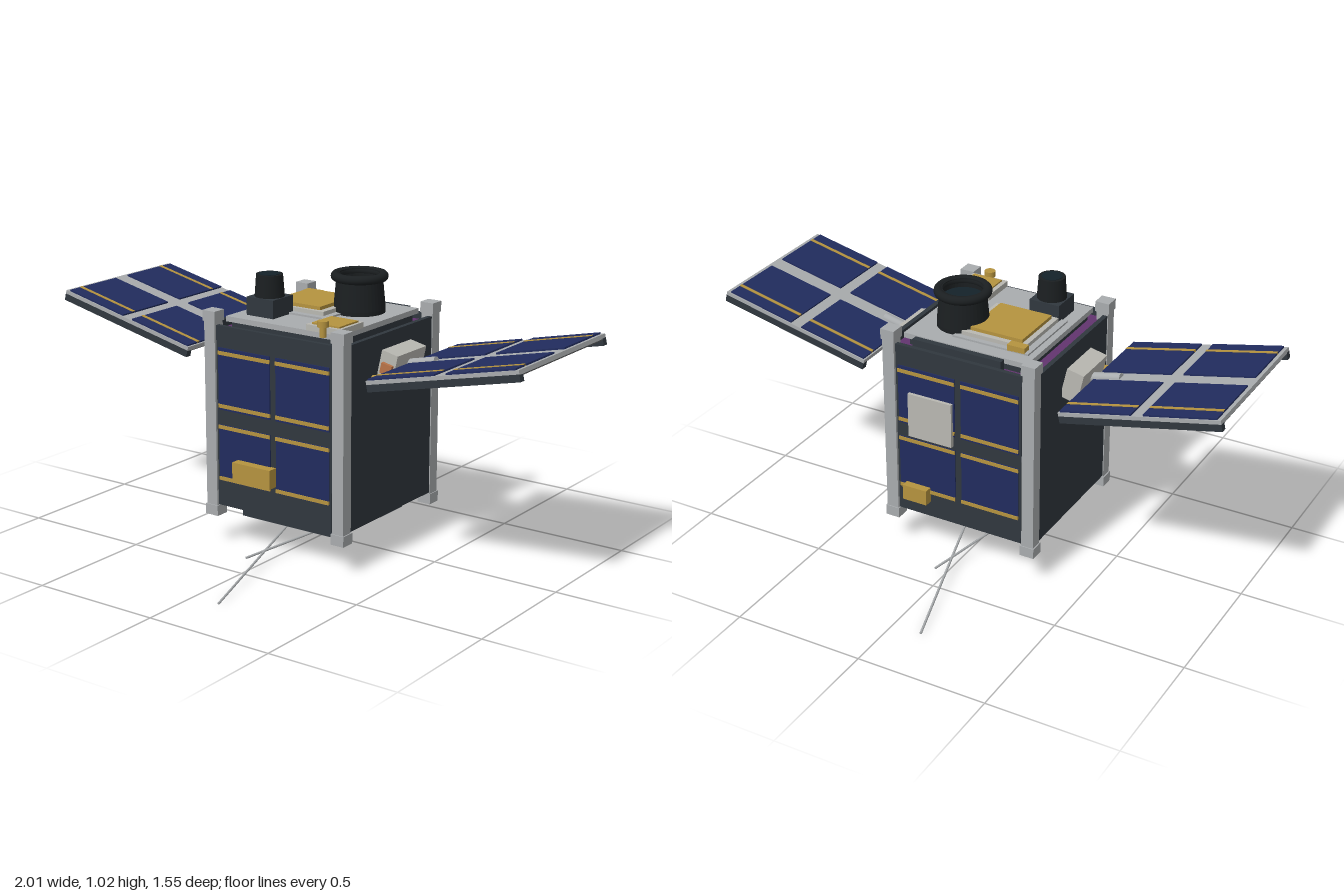
import * as THREE from 'three';

const mat = (color) => new THREE.MeshStandardMaterial({ color });
const M = {
  grey: mat(0xa9acae), pale: mat(0xb9b8b2), dark: mat(0x30373e), under: mat(0x505152),
  navy: mat(0x212c5e), gold: mat(0xb5933f), purple: mat(0x62346f), black: mat(0x1b1f21),
  teal: mat(0x152a3e), copper: mat(0xb87348), glass: mat(0x14222a),
};

const add = (parent, name, geo, m, x = 0, y = 0, z = 0) => {
  const mesh = new THREE.Mesh(geo, m);
  mesh.name = name;
  mesh.position.set(x, y, z);
  parent.add(mesh);
  return mesh;
};

// Box given by its minimum and maximum on each axis
const box = (parent, name, m, x0, x1, y0, y1, z0, z1) =>
  add(parent, name, new THREE.BoxGeometry(x1 - x0, y1 - y0, z1 - z0), m,
    (x0 + x1) / 2, (y0 + y1) / 2, (z0 + z1) / 2);

const group = (parent, name) => {
  const g = new THREE.Group();
  g.name = name;
  parent.add(g);
  return g;
};

// Thin round bar between two points
const rod = (parent, name, m, a, b, r, sides = 12) => {
  const p = new THREE.Vector3(...a), q = new THREE.Vector3(...b);
  const d = q.clone().sub(p);
  const mesh = add(parent, name, new THREE.CylinderGeometry(r, r, d.length(), sides), m);
  mesh.position.copy(p).add(q).multiplyScalar(0.5);
  mesh.quaternion.setFromUnitVectors(new THREE.Vector3(0, 1, 0), d.normalize());
  return mesh;
};

function buildBody(root) {
  const g = group(root, 'body');
  box(g, 'innerCore', M.purple, -0.28, 0.28, 0.17, 0.815, -0.288, 0.288);
  box(g, 'deckSupport', M.dark, -0.235, 0.235, 0.81, 0.846, -0.24, 0.24);
  box(g, 'topDeck', M.grey, -0.25, 0.25, 0.845, 0.865, -0.255, 0.255);
  box(g, 'rearDeckStrip', M.dark, -0.16, 0.2, 0.815, 0.862, -0.28, -0.256);
  box(g, 'bottomDeck', M.grey, -0.25, 0.25, 0.157, 0.172, -0.25, 0.25);
  for (const s of [-1, 1]) {
    box(g, 'sidePanel', M.dark, s * 0.297 - 0.009, s * 0.297 + 0.009, 0.155, 0.84, -0.26, 0.26);
    // Corner rails with end caps
    for (const t of [-1, 1]) {
      add(g, 'cornerRail', new THREE.BoxGeometry(0.048, 0.77, 0.048), M.grey, s * 0.285, 0.5, t * 0.285);
      for (const y of [0.13, 0.87])
        add(g, 'railCap', new THREE.BoxGeometry(0.056, 0.04, 0.056), M.grey, s * 0.285, y, t * 0.285);
    }
  }
  // Front and rear panels with four solar cells each
  for (const turn of [0, Math.PI]) {
    const p = group(g, turn ? 'rearPanel' : 'frontPanel');
    p.rotation.y = turn;
    box(p, 'panelPlate', M.dark, -0.257, 0.257, 0.155, 0.84, 0.288, 0.305);
    for (const x of [-0.13, 0.13]) {
      for (const [y0, y1] of [[0.253, 0.468], [0.525, 0.76]])
        box(p, 'solarCell', M.navy, x - 0.117, x + 0.117, y0, y1, 0.305, 0.309);
      for (const y of [0.262, 0.46, 0.54, 0.74])
        box(p, 'busStrip', M.gold, x - 0.117, x + 0.117, y - 0.007, y + 0.007, 0.305, 0.312);
    }
  }
  box(g, 'frontGoldUnit', M.gold, -0.16, 0.01, 0.275, 0.347, 0.305, 0.345);
  box(g, 'rearGoldUnit', M.gold, 0.12, 0.22, 0.22, 0.28, -0.34, -0.305);
  box(g, 'rearPatch', M.pale, 0.02, 0.2, 0.485, 0.66, -0.322, -0.305);
}

function buildTopEquipment(root) {
  const g = group(root, 'topEquipment');
  // Stepped patch antennas
  box(g, 'patchBase', M.grey, -0.225, 0.08, 0.865, 0.872, -0.2, 0.1);
  box(g, 'patchStep', M.pale, -0.2, 0.055, 0.872, 0.887, -0.18, 0.075);
  box(g, 'patchGold', M.gold, -0.18, 0.03, 0.887, 0.9, -0.16, 0.06);
  box(g, 'patchTab', M.gold, -0.21, -0.14, 0.865, 0.89, -0.2, -0.165);
  box(g, 'smallPatchBase', M.pale, 0.11, 0.257, 0.865, 0.887, 0.112, 0.257);
  box(g, 'smallPatchGold', M.gold, 0.127, 0.245, 0.887, 0.893, 0.127, 0.243);
  add(g, 'goldStud', new THREE.CylinderGeometry(0.021, 0.021, 0.022, 20), M.gold, 0.187, 0.9, 0.26);
  add(g, 'studStem', new THREE.CylinderGeometry(0.013, 0.013, 0.04, 16), M.gold, 0.187, 0.872, 0.26);

  // Large telescope: hollow barrel, rolled rim, recessed lens
  const tel = group(g, 'telescope');
  tel.position.set(0.1, 0.865, -0.09);
  const barrel = [[0.001, 0], [0.096, 0], [0.096, 0.015], [0.086, 0.12], [0.086, 0.145],
    [0.074, 0.145], [0.074, 0.1]].map(([r, y]) => new THREE.Vector2(r, y));
  const shell = add(tel, 'telescopeBarrel', new THREE.LatheGeometry(barrel, 40),
    new THREE.MeshStandardMaterial({ color: 0x1b1f21, side: THREE.DoubleSide }));
  shell.geometry = shell.geometry.toNonIndexed();
  shell.geometry.computeVertexNormals();
  const rim = add(tel, 'telescopeRim', new THREE.TorusGeometry(0.089, 0.017, 12, 40), M.black, 0, 0.133, 0);
  rim.rotation.x = Math.PI / 2;
  add(tel, 'telescopeLens', new THREE.CylinderGeometry(0.075, 0.075, 0.01, 40), M.glass, 0, 0.105, 0);

  // Small camera on a square base
  box(g, 'cameraBase', M.dark, -0.2, -0.08, 0.865, 0.933, 0.077, 0.197);
  add(g, 'cameraBarrel', new THREE.CylinderGeometry(0.049, 0.055, 0.082, 32), M.black, -0.14, 0.974, 0.137);
  add(g, 'cameraLens', new THREE.CylinderGeometry(0.038, 0.038, 0.004, 32), M.glass, -0.14, 1.015, 0.137);
}

// Wing extending along local +x; pinSide places the gold pin on the front
function buildWing(root, name, pinSide) {
  const side = group(root, name);
  // Hinge block, pin and arm
  const hinge = group(side, 'hinge');
  hinge.position.set(0.345, 0.725, 0);
  hinge.rotation.z = -0.22;
  box(hinge, 'hingeBlock', M.pale, -0.035, 0.033, -0.06, 0.06, -0.093, 0.093);
  box(hinge, 'hingeInsert', M.copper, -0.02, 0.025, -0.02, 0.02, pinSide * 0.099 - 0.007, pinSide * 0.099 + 0.007);
  rod(side, 'hingePin', M.gold, [0.305, 0.688, pinSide * 0.123], [0.41, 0.712, pinSide * 0.123], 0.014);

  const wing = group(side, 'solarWing');
  wing.position.set(0.395, 0.735, 0);
  wing.rotation.z = 0.221;
  const L = 0.615;
  rod(wing, 'hingeArm', M.grey, [-0.02, -0.002, 0], [0.1, -0.002, 0], 0.018, 16);
  box(wing, 'wingPlate', M.grey, 0, L, -0.016, 0, -0.3, 0.3);
  box(wing, 'wingUnderside', M.under, 0.004, L - 0.004, -0.021, -0.016, -0.28, 0.28);
  box(wing, 'undersidePanel', M.teal, 0.14, 0.47, -0.025, -0.02, -0.125, 0.125);
  for (const s of [-1, 1]) {
    box(wing, 'edgeRail', M.dark, 0, L, -0.04, -0.014, s * 0.289 - 0.012, s * 0.289 + 0.012);
    for (const [x0, x1] of [[0.006, 0.282], [0.327, 0.6]]) {
      box(wing, 'wingCell', M.navy, x0, x1, 0, 0.006, s * 0.165 - 0.13, s * 0.165 + 0.13);
      box(wing, 'wingBusStrip', M.gold, x0, x1, 0, 0.008, s * 0.235 - 0.007, s * 0.235 + 0.007);
    }
  }
  return side;
}

function buildUnderside(root) {
  const g = group(root, 'underside');
  box(g, 'antennaTray', M.dark, -0.215, 0.215, 0.093, 0.137, -0.215, 0.215);
  box(g, 'trayConnector', M.black, -0.212, -0.165, 0.135, 0.158, 0.165, 0.212);
  // Two long and two short whips, paired by a half turn
  for (const s of [-1, 1]) {
    rod(g, 'longWhip', M.grey, [-0.12 * s, 0.086, -0.07 * s], [0.115 * s, 0.005, 0.775 * s], 0.0045, 8);
    rod(g, 'shortWhip', M.grey, [0.12 * s, 0.086, -0.07 * s], [-0.022 * s, 0.038, 0.445 * s], 0.0045, 8);
    for (const t of [-1, 1])
      box(g, 'whipMount', M.black, 0.12 * t - 0.014, 0.12 * t + 0.014, 0.083, 0.095, -0.07 * s - 0.014, -0.07 * s + 0.014);
  }
}

export function createModel() {
  const root = new THREE.Group();
  root.name = 'satellite';
  buildBody(root);
  buildTopEquipment(root);
  buildWing(root, 'leftWing', 1);
  buildWing(root, 'rightWing', -1).rotation.y = Math.PI;
  buildUnderside(root);
  return root;
}
